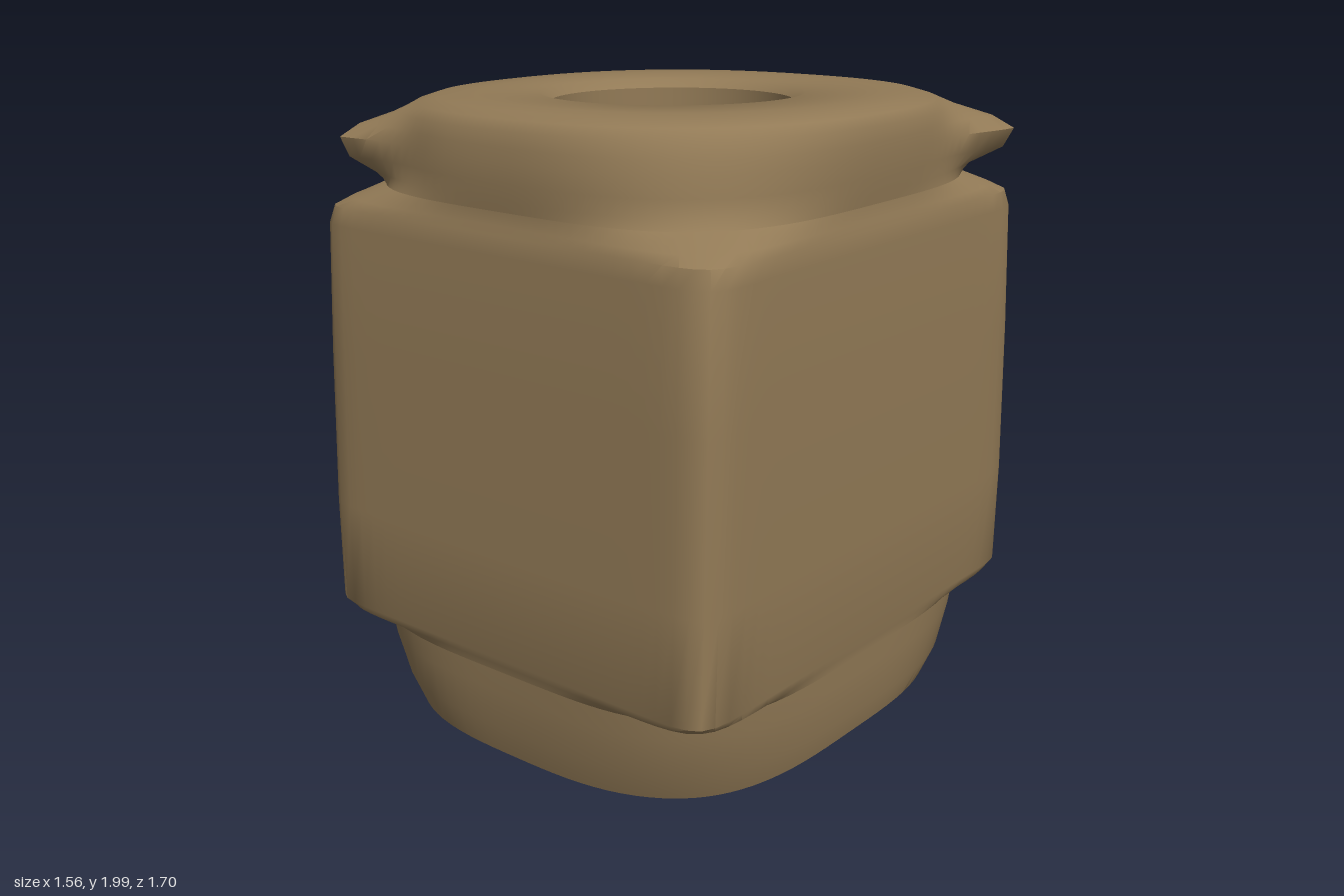
import * as THREE from 'three';
import { toCreasedNormals } from 'three/addons/utils/BufferGeometryUtils.js';

const PER_SIDE = 28;
const COUNT = PER_SIDE * 4;

// Point on the edge of the unit square, corners included
function squarePoint(i) {
  const side = Math.floor(i / PER_SIDE) % 4;
  const t = -1 + (2 * (i % PER_SIDE)) / PER_SIDE;
  return [[1, t], [-t, 1], [-1, -t], [t, -1]][side];
}

// How strongly a point belongs to one corner: 0 at mid side, 1 at the corner
function cornerWeight(u, v, sx, sz) {
  return THREE.MathUtils.smoothstep(Math.min(u * sx, v * sz), 0.3, 1);
}

// One cross-section: superellipse of power n, with two horned corners if spike > 0
function ringPoint(i, [y, hx, hz, n, spike = 0]) {
  const [u, v] = squarePoint(i);
  let k = Math.pow(Math.abs(u) ** n + Math.abs(v) ** n, -1 / n);
  const horn = spike * cornerWeight(u, v, -1, 1);
  const ear = spike * cornerWeight(u, v, 1, -1);
  k += (0.94 - k) * (horn + ear);
  const isBore = hx < 0.5;
  const x = u * k * hx + (isBore ? -0.03 : -0.015) + 0.07 * ear;
  const z = v * k * hz + (isBore ? 0.01 : 0) + 0.04 * ear;
  // Slightly uneven end faces
  if (y > 1.93) y += 0.014 * THREE.MathUtils.clamp(x * 0.8 + z * 0.8, -1, 1);
  if (y < 0.05) y += 0.022 * THREE.MathUtils.smoothstep(x * 0.6 - z, -0.3, 0.4);
  return [x, y, z];
}

// Skin a list of cross-sections
function loft(rings, crease) {
  const pos = [];
  const index = [];
  rings.forEach((ring) => {
    for (let i = 0; i < COUNT; i++) pos.push(...ringPoint(i, ring));
  });
  for (let r = 0; r < rings.length - 1; r++) {
    for (let i = 0; i < COUNT; i++) {
      const j = (i + 1) % COUNT;
      const a = r * COUNT + i, b = r * COUNT + j;
      index.push(a, a + COUNT, b, b, a + COUNT, b + COUNT);
    }
  }
  const g = new THREE.BufferGeometry();
  g.setAttribute('position', new THREE.Float32BufferAttribute(pos, 3));
  g.setIndex(index);
  return toCreasedNormals(g, crease);
}

export function createModel() {
  const stone = new THREE.MeshStandardMaterial({ color: 0x927a56 });
  stone.name = 'brown stone';

  const group = new THREE.Group();
  group.name = 'squareTubeVessel';
  const add = (name, rings, crease = 0.8) => {
    const mesh = new THREE.Mesh(loft(rings, crease), stone);
    mesh.name = name;
    group.add(mesh);
  };

  // Rings are [height, half width, half depth, power, corner horns]
  add('lowerCollar', [
    [0.03, 0.375, 0.38, 2],
    [0.005, 0.40, 0.40, 2],
    [0.002, 0.70, 0.76, 2.8],
    [0.02, 0.735, 0.80, 3],
    [0.12, 0.755, 0.825, 3.3],
    [0.25, 0.762, 0.835, 3.8],
    [0.32, 0.765, 0.838, 4],
  ]);

  add('squareBody', [
    [0.32, 0.765, 0.838, 4],
    [0.345, 0.766, 0.843, 12],
    [0.37, 0.772, 0.852, 18],
    [0.70, 0.776, 0.845, 20],
    [1.20, 0.775, 0.83, 20],
    [1.60, 0.772, 0.818, 18],
    [1.655, 0.768, 0.812, 14],
    [1.68, 0.758, 0.80, 8],
    [1.72, 0.752, 0.796, 3.6],
  ]);

  add('upperCollar', [
    [1.72, 0.752, 0.796, 3.6],
    [1.75, 0.755, 0.798, 3.1, 0.35],
    [1.80, 0.76, 0.80, 2.9, 0.85],
    [1.86, 0.762, 0.798, 2.8, 1],
    [1.90, 0.76, 0.79, 2.7, 0.7],
    [1.935, 0.755, 0.782, 2.6, 0.2],
    [1.965, 0.74, 0.76, 2.5],
    [1.982, 0.70, 0.71, 2.4],
    [1.985, 0.60, 0.61, 2.2],
    [1.982, 0.41, 0.41, 2],
    [1.955, 0.375, 0.38, 2],
  ]);

  // Round hole through the whole height
  add('bore', [
    [1.955, 0.375, 0.38, 2],
    [1.0, 0.37, 0.378, 2],
    [0.03, 0.375, 0.38, 2],
  ]);

  return group;
}
